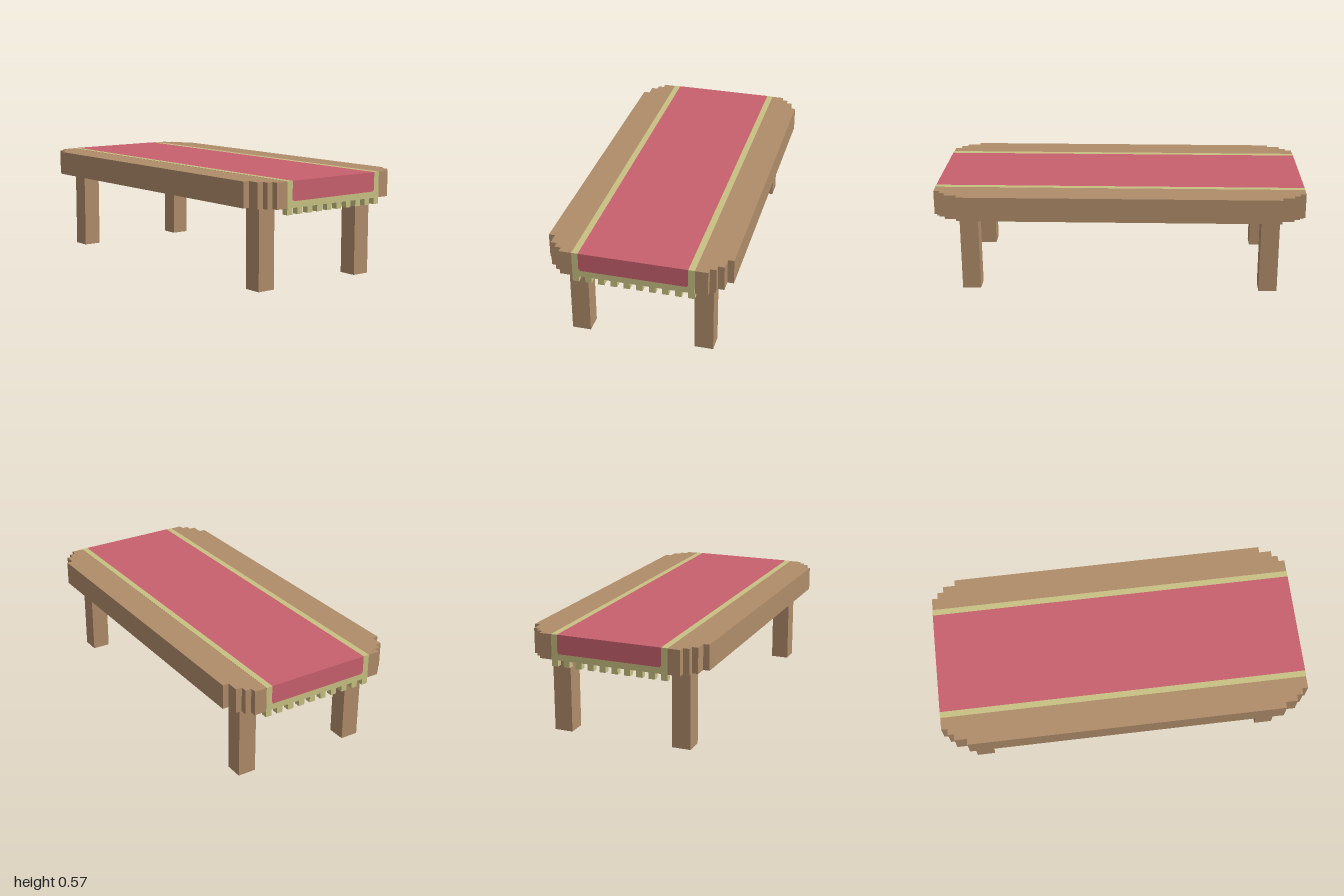
import * as THREE from 'three';

const U = 1 / 30; // one block of the grid the table is built on

export function createModel() {
  const group = new THREE.Group();
  group.name = 'tableWithRunner';

  const material = (name, color) => {
    const m = new THREE.MeshStandardMaterial({ color });
    m.name = name;
    return m;
  };
  const wood = material('wood', 0xb08d6a);
  const red = material('redCloth', 0xc9616e);
  const trim = material('strawTrim', 0xc9c183);

  // Box given by its minimum and maximum corners, in grid blocks
  const block = (name, mat, min, max) => {
    const s = max.map((v, i) => (v - min[i]) * U);
    const mesh = new THREE.Mesh(new THREE.BoxGeometry(...s), mat);
    mesh.position.set(...max.map((v, i) => ((v + min[i]) / 2) * U));
    mesh.name = name;
    group.add(mesh);
    return mesh;
  };

  // Tabletop with stepped corners
  const corner = [[30, 11.5], [29, 11.5], [29, 12.5], [28, 12.5], [28, 13.5], [26, 13.5], [26, 14.5]];
  const flipped = [...corner].reverse();
  const outline = [
    ...corner,
    ...flipped.map(([x, z]) => [-x, z]),
    ...corner.map(([x, z]) => [-x, -z]),
    ...flipped.map(([x, z]) => [x, -z]),
  ].map(([x, z]) => new THREE.Vector2(x * U, z * U));
  const topGeometry = new THREE.ExtrudeGeometry(new THREE.Shape(outline), { depth: 4 * U, bevelEnabled: false });
  topGeometry.rotateX(-Math.PI / 2).translate(0, 13 * U, 0);
  const top = new THREE.Mesh(topGeometry, wood);
  top.name = 'tabletop';
  group.add(top);

  // Legs
  for (const x of [-24.5, 24.5]) {
    for (const z of [-10, 10]) block('leg', wood, [x - 1.5, 0, z - 1.5], [x + 1.5, 13, z + 1.5]);
  }

  // Runner on the top: red centre with a trim strip along each side
  const t = 0.04; // plate thickness in blocks
  const end = 30 + t;
  block('runnerTop', red, [-end, 17, -8.5], [end, 17 + t, 8.5]);
  for (const z of [-9, 9]) block('runnerTrim', trim, [-end, 17, z - 0.5], [end, 17 + t, z + 0.5]);

  // Hanging ends of the runner, with fringe below
  for (const side of [-1, 1]) {
    const plate = (name, mat, y0, y1, z0, z1) => {
      const [x0, x1] = side > 0 ? [30, end] : [-end, -30];
      block(name, mat, [x0, y0, z0], [x1, y1, z1]);
    };
    plate('endCloth', red, 14.2, 17, -8.5, 8.5);
    plate('endClothHem', red, 14, 14.2, -8.3, 8.3);
    plate('endTrimBottom', trim, 13, 14, -9.5, 9.5);
    for (const s of [-1, 1]) {
      plate('endTrimSide', trim, 14, 17, s * 9 - 0.5, s * 9 + 0.5);
      plate('endTrimCorner', trim, 14, 14.2, s * 8.4 - 0.1, s * 8.4 + 0.1);
    }
    for (let i = 0; i < 10; i++) {
      const z = -9 + 2 * i;
      const x = side * 29.5;
      block('fringe', trim, [x - 0.5, 12, z - 0.5], [x + 0.5, 13, z + 0.5]);
    }
  }
  return group;
}
